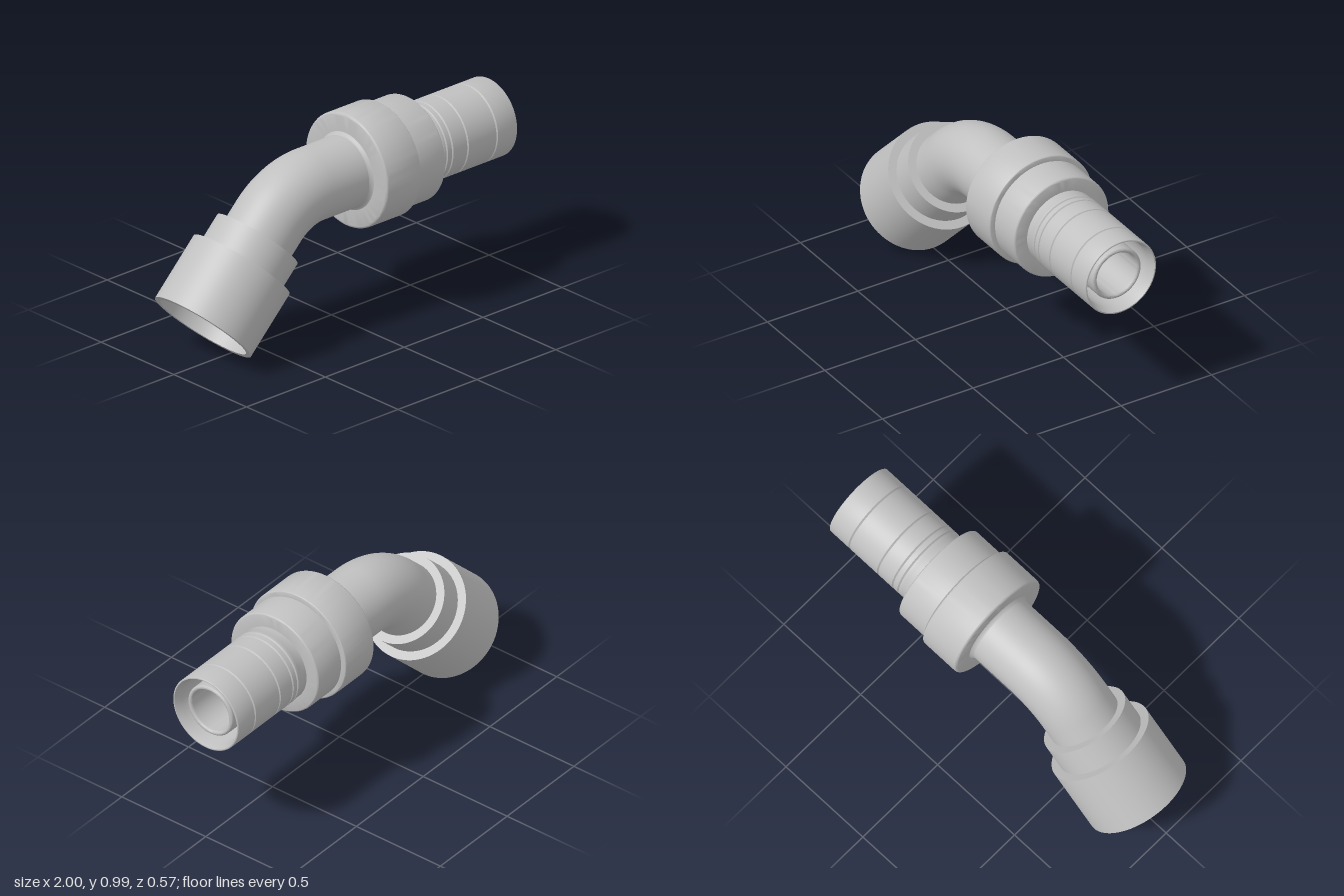
import * as THREE from 'three';
import { toCreasedNormals } from 'three/addons/utils/BufferGeometryUtils.js';

const AXIS_Y = 0.71;                 // height of the horizontal axis
const CORNER_X = -0.291;             // where the two straight axes would meet
const BEND_R = 0.374, BEND = Math.PI / 4;
const TANGENT = BEND_R * Math.tan(BEND / 2);
const SOCKET_D = 0.741;              // socket mouth to axis corner

// Centre line: sloping run, 45 degree arc, level run
class ElbowCurve extends THREE.Curve {
  getPoint(t, target = new THREE.Vector3()) {
    const l1 = 0.24, l2 = BEND_R * BEND, l3 = 0.256;
    const s = t * (l1 + l2 + l3);
    const bx = CORNER_X + TANGENT, cy = AXIS_Y - BEND_R;
    if (s > l1 + l2) return target.set(bx + s - l1 - l2, AXIS_Y, 0);
    const a = BEND - Math.max(0, s - l1) / BEND_R;
    target.set(bx - BEND_R * Math.sin(a), cy + BEND_R * Math.cos(a), 0);
    if (s < l1) {
      target.x += (s - l1) * Math.cos(BEND);
      target.y += (s - l1) * Math.sin(BEND);
    }
    return target;
  }
}

// Turned part from [radius, distance along axis] pairs
function turned(profile) {
  const points = profile.map(([r, d]) => new THREE.Vector2(r, d));
  return toCreasedNormals(new THREE.LatheGeometry(points, 72), 0.6);
}

// Quarter-round corner, from angle a0 to a1 about (r, d)
function round(r, d, radius, a0, a1, steps = 5) {
  return Array.from({ length: steps + 1 }, (_, i) => {
    const a = (a0 + (a1 - a0) * i / steps) * Math.PI / 180;
    return [r + radius * Math.cos(a), d + radius * Math.sin(a)];
  });
}

// Shallow V groove on a cylinder
const groove = (r, d) => [[r, d - 0.005], [r - 0.007, d], [r, d + 0.005]];

export function createModel() {
  const group = new THREE.Group();
  const steel = new THREE.MeshStandardMaterial({ color: 0xc0c0c0, side: THREE.DoubleSide });
  steel.name = 'steel grey';

  const add = (name, geometry) => {
    const mesh = new THREE.Mesh(geometry, steel);
    mesh.name = name;
    group.add(mesh);
    return mesh;
  };
  const addLevel = (name, profile) => {
    const mesh = add(name, turned(profile));
    mesh.rotation.z = -Math.PI / 2;
    mesh.position.y = AXIS_Y;
  };

  // Bent pipe and its bore
  const path = new ElbowCurve();
  add('bentPipe', new THREE.TubeGeometry(path, 64, 0.178, 64));
  add('pipeBore', new THREE.TubeGeometry(path, 64, 0.11, 48));

  // Stepped swivel socket, open at the lower end
  const socket = add('swivelSocket', turned([
    [0.235, 0], [0.2625, 0], [0.2625, 0.346], [0.22, 0.346], [0.22, 0.488], [0.165, 0.488],
  ]));
  const seat = add('socketSeat', turned([[0.11, 0.346], [0.235, 0.25], [0.235, 0]]));
  for (const part of [socket, seat]) {
    part.rotation.z = -BEND;
    part.position.set(
      CORNER_X - SOCKET_D * Math.cos(BEND), AXIS_Y - SOCKET_D * Math.sin(BEND), 0);
  }

  // Two-step collar with rounded edges
  addLevel('collar', [
    [0.178, 0.075], [0.182, 0.085], [0.192, 0.092],
    ...round(0.270, 0.107, 0.015, -90, 0),
    ...round(0.277, 0.300, 0.008, 0, 90),
    [0.256, 0.308], [0.256, 0.314], [0.262, 0.318],
    ...round(0.250, 0.474, 0.012, 0, 90),
    [0.19, 0.486],
  ]);

  // Crimp sleeve with grooves and a chamfered mouth
  addLevel('crimpSleeve', [
    [0.192, 0.48], [0.192, 0.53], [0.195, 0.535],
    ...groove(0.195, 0.555), ...groove(0.195, 0.59),
    ...groove(0.195, 0.687), ...groove(0.195, 0.872),
    ...round(0.191, 0.996, 0.004, 0, 90, 3),
    [0.187, 1.0], [0.174, 0.96], [0.174, 0.62], [0.13, 0.62],
  ]);

  // Hose nipple with rounded tip and through bore
  addLevel('hoseNipple', [
    [0.133, 0.6], [0.133, 0.955],
    ...round(0.1215, 0.958, 0.0115, 0, 180, 8),
    [0.11, 0.95], [0.11, 0.1],
  ]);

  return group;
}
